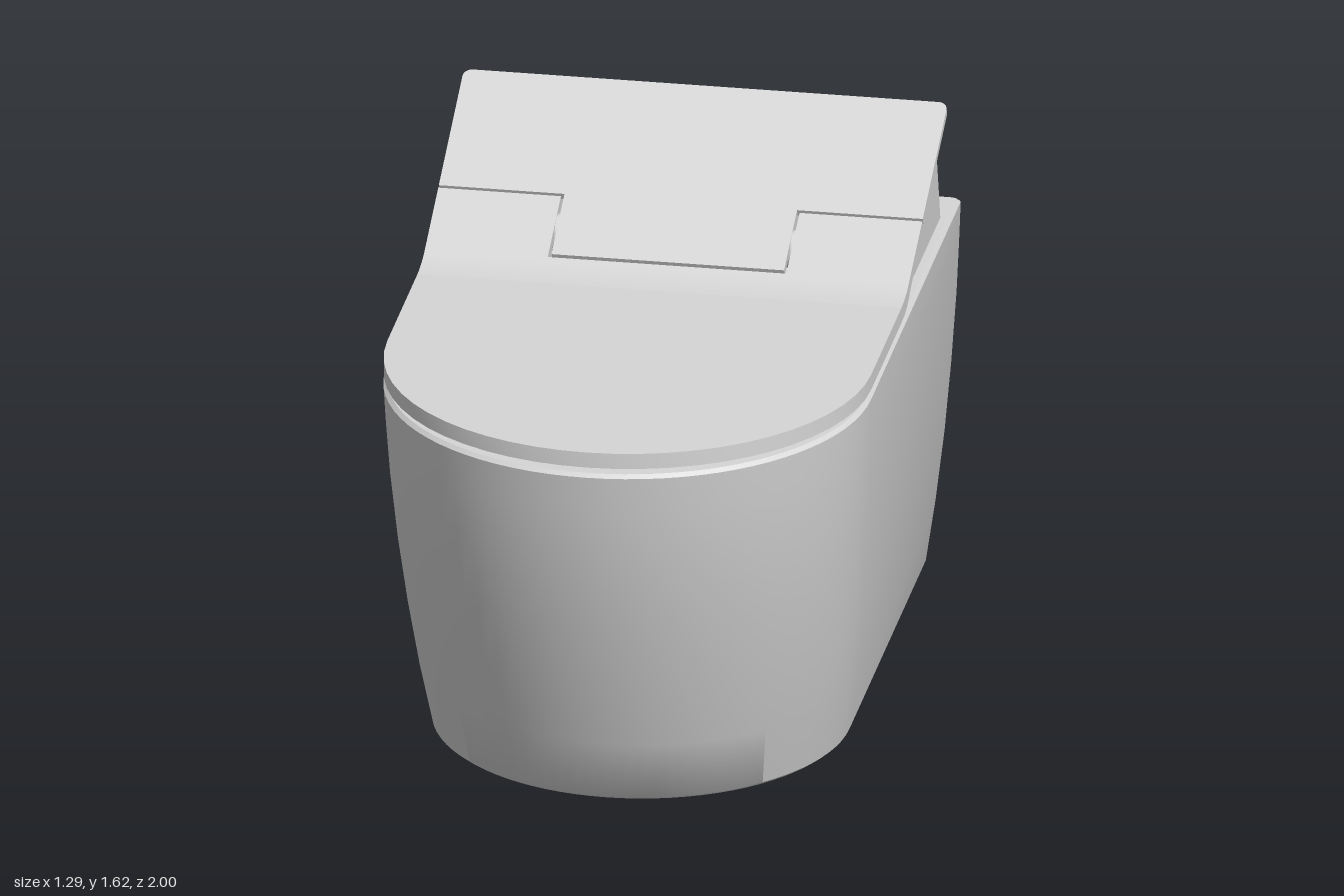
import * as THREE from 'three';
import { toCreasedNormals } from 'three/addons/utils/BufferGeometryUtils.js';

const ceramic = new THREE.MeshStandardMaterial({ color: 0xd6d6d6 });
ceramic.name = 'light grey ceramic';

const HALF = 0.645;            // half width of the lid
const SLOPE = 0.46;            // rise of the rear cover
const topAt = z => 1.325 + SLOPE * (-z - 0.16);

function add(group, name, geometry) {
  const mesh = new THREE.Mesh(geometry, ceramic);
  mesh.name = name;
  group.add(mesh);
  return mesh;
}

// Side profile of [z, y] points, extruded across x
function sideProfile(points, x0, x1) {
  const shape = new THREE.Shape(points.map(([z, y]) => new THREE.Vector2(-z, y)));
  const geo = new THREE.ExtrudeGeometry(shape, { depth: x1 - x0, bevelEnabled: false });
  geo.rotateY(Math.PI / 2).translate(x0, 0, 0);
  return toCreasedNormals(geo, 0.4);
}

// D-shaped outline: round front, straight sides, square back with small corner rounding
function outline(half, front, inset) {
  const r = half - inset, cz = front - half, back = -1 + inset, c = 0.012;
  const pts = [];
  for (let i = 0; i <= 40; i++) {
    const a = Math.PI * i / 40;
    pts.push([r * Math.cos(a), cz + r * Math.sin(a)]);
  }
  pts.push([-r, back + c], [-r + c * 0.3, back + c * 0.3], [-r + c, back]);
  pts.push([r - c, back], [r - c * 0.3, back + c * 0.3], [r, back + c]);
  return pts;
}

// Bowl body lofted through [y, half width, front z, inset]
function bodyGeometry() {
  const sections = [
    [0.215, 0.55, 0.705, 0.01], [0.225, 0.552, 0.708, 0], [0.4, 0.578, 0.775, 0],
    [0.6, 0.602, 0.842, 0], [0.8, 0.62, 0.905, 0], [1.0, 0.634, 0.955, 0],
    [1.15, 0.641, 0.984, 0], [1.255, 0.645, 1.0, 0], [1.265, 0.645, 1.0, 0.01],
  ];
  const pos = [], index = [];
  let n = 0;
  for (const [y, half, front, inset] of sections) {
    const ring = outline(half, front, inset);
    n = ring.length;
    for (const [x, z] of ring) pos.push(x, y, z);
  }
  const last = (sections.length - 1) * n, low = sections.length * n, high = low + 1;
  pos.push(0, 0.215, 0, 0, 1.265, 0);
  for (let j = 0; j < n; j++) {
    const k = (j + 1) % n;
    for (let i = 0; i < last; i += n) {
      index.push(i + j, i + n + j, i + k, i + k, i + n + j, i + n + k);
    }
    index.push(low, j, k, high, last + k, last + j);
  }
  const geo = new THREE.BufferGeometry();
  geo.setAttribute('position', new THREE.Float32BufferAttribute(pos, 3));
  geo.setIndex(index);
  return toCreasedNormals(geo, 0.6);
}

// Sloped rear cover: wide panel with rounded top corners and a central tab
function coverGeometry() {
  const tilt = Math.atan(SLOPE), z0 = -0.225;
  const along = z => (z0 - z) / Math.cos(tilt);
  const step = along(-0.42), end = along(-0.797), tab = 0.31, r = 0.025;
  const s = new THREE.Shape();
  s.moveTo(-tab, 0);
  s.lineTo(tab, 0);
  s.lineTo(tab, step);
  s.lineTo(HALF, step);
  s.lineTo(HALF, end - r);
  s.absarc(HALF - r, end - r, r, 0, Math.PI / 2);
  s.absarc(-HALF + r, end - r, r, Math.PI / 2, Math.PI);
  s.lineTo(-HALF, step);
  s.lineTo(-tab, step);
  const geo = new THREE.ExtrudeGeometry(s, { depth: 0.02, bevelEnabled: false, curveSegments: 6 });
  geo.translate(0, 0, -0.02).rotateX(tilt - Math.PI / 2).translate(0, topAt(z0), z0);
  return geo;
}

export function createModel() {
  const model = new THREE.Group();
  model.name = 'wallHungToilet';

  add(model, 'bowlBody', bodyGeometry());

  // Rounded outlet under the body
  const outlet = add(model, 'outletDome',
    new THREE.SphereGeometry(1, 40, 16, 0, Math.PI * 2, Math.PI / 2, Math.PI / 2));
  outlet.scale.set(0.195, 0.217, 0.275);
  outlet.position.set(0, 0.217, -0.187);

  // Lid: flat front, curved bend and two wings beside the cover tab
  const lid = new THREE.Group();
  lid.name = 'lid';
  model.add(lid);
  const plan = new THREE.Shape();
  plan.moveTo(-HALF, -0.1);
  plan.lineTo(HALF, -0.1);
  plan.lineTo(HALF, 0.35);
  plan.absarc(0, 0.35, HALF, 0, Math.PI);
  const flat = new THREE.ExtrudeGeometry(plan, { depth: 0.043, bevelEnabled: false, curveSegments: 14 });
  flat.rotateX(Math.PI / 2).translate(0, 1.325, 0);
  add(lid, 'lidFlat', toCreasedNormals(flat, 0.4));
  add(lid, 'lidBend', sideProfile([
    [-0.1, 1.282], [-0.1, 1.325], [-0.13, 1.327], [-0.16, 1.332], [-0.19, topAt(-0.19)],
    [-0.215, topAt(-0.215)], [-0.215, 1.308], [-0.18, 1.291], [-0.15, 1.284],
  ], -HALF, HALF));
  const wing = [[-0.215, 1.308], [-0.215, topAt(-0.215)], [-0.412, topAt(-0.412)], [-0.412, 1.418]];
  add(lid, 'lidWingLeft', sideProfile(wing, 0.318, HALF));
  add(lid, 'lidWingRight', sideProfile(wing, -HALF, -0.318));

  add(model, 'rearCover', coverGeometry());

  // Housing, hinge and mounting plate beneath the cover
  add(model, 'rearHousing', sideProfile([
    [-0.45, 1.262], [-0.45, 1.435], [-0.765, 1.582], [-0.852, 1.262],
  ], -0.615, 0.615));
  const hinge = add(model, 'hingeBar', new THREE.CylinderGeometry(0.05, 0.05, 1.21, 28));
  hinge.rotation.z = Math.PI / 2;
  hinge.position.set(0, 1.36, -0.36);
  const plate = add(model, 'mountingPlate', new THREE.BoxGeometry(1.21, 0.014, 0.16));
  plate.position.set(0, 1.271, -0.38);

  return model;
}
